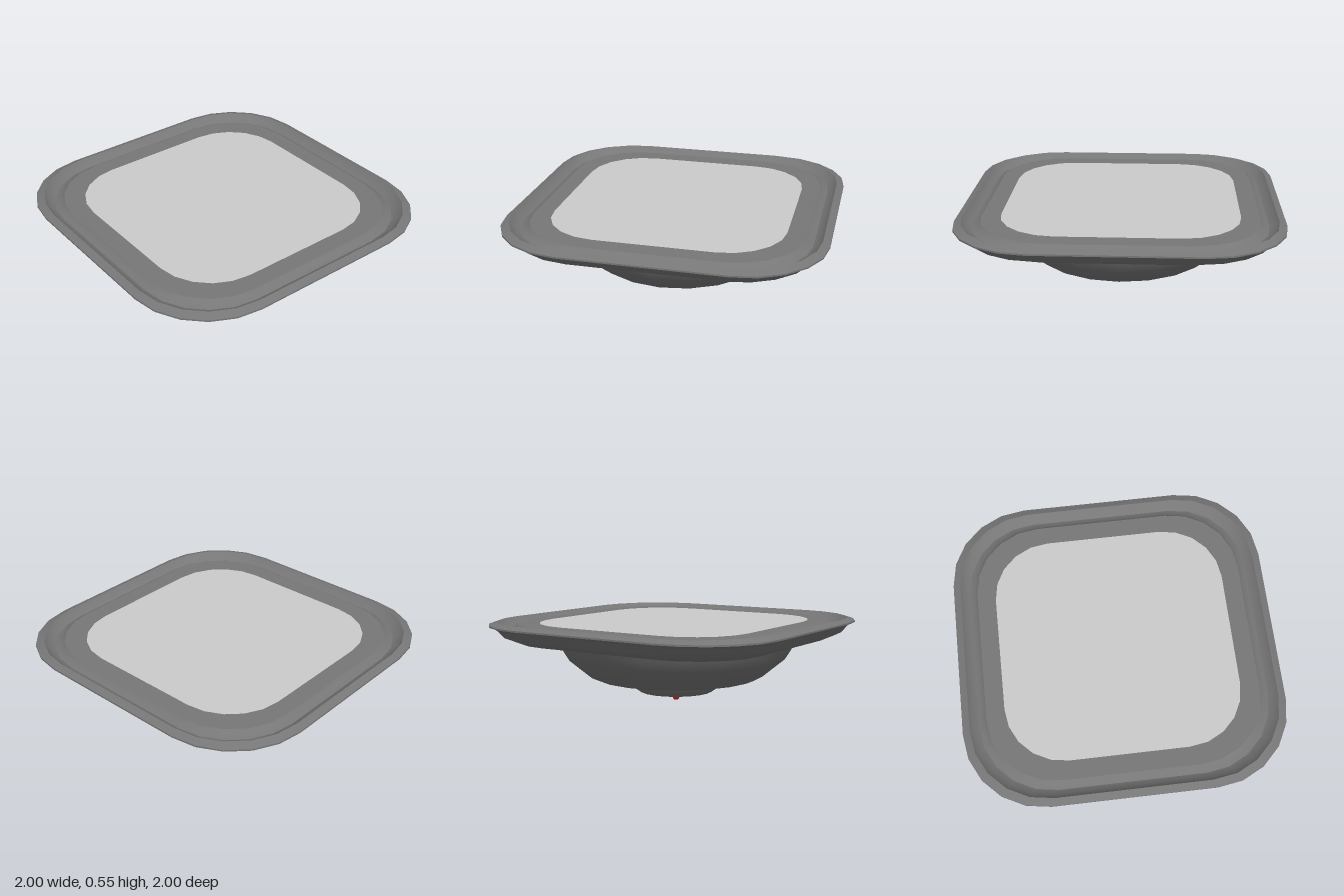
import * as THREE from 'three';
import { toCreasedNormals } from 'three/addons/utils/BufferGeometryUtils.js';

const mat = (color) => new THREE.MeshStandardMaterial({ color, side: THREE.DoubleSide });

// Outline of a unit square with rounded corners, five facets per corner
function roundedSquare() {
  const pts = [];
  for (let c = 0; c < 4; c++) {
    const cx = [1, -1, -1, 1][c] * 0.5, cz = [1, 1, -1, -1][c] * 0.5;
    for (let k = 0; k <= 5; k++) {
      const a = (c + k / 5) * Math.PI / 2;
      pts.push([cx + 0.5 * Math.cos(a), cz + 0.5 * Math.sin(a)]);
    }
  }
  return pts;
}

// Sweep a [halfWidth, y] profile around the rounded square
function squareLoft(profile) {
  const outline = roundedSquare(), n = outline.length;
  const pos = [], index = [];
  for (const [h, y] of profile) for (const [x, z] of outline) pos.push(x * h, y, z * h);
  for (let j = 0; j < profile.length - 1; j++) {
    for (let i = 0; i < n; i++) {
      const a = j * n + i, b = j * n + (i + 1) % n;
      index.push(a, a + n, b, b, a + n, b + n);
    }
  }
  const g = new THREE.BufferGeometry();
  g.setAttribute('position', new THREE.Float32BufferAttribute(pos, 3));
  g.setIndex(index);
  return toCreasedNormals(g, 0.5);
}

const lathe = (profile, sides) =>
  new THREE.LatheGeometry(profile.map(([r, y]) => new THREE.Vector2(r, y)), sides);

export function createModel() {
  const group = new THREE.Group();
  const dark = mat(0x777777);
  const add = (name, geometry, material) => {
    const mesh = new THREE.Mesh(geometry, material);
    mesh.name = name;
    group.add(mesh);
  };

  // Square plate: flat underside, flared side, thin lip, shallow groove, inner border
  add('plate', squareLoft([
    [0.5, 0.41], [0.84, 0.41], [0.925, 0.45], [0.955, 0.49], [0.97, 0.505], [1, 0.517],
    [1, 0.527], [0.955, 0.545], [0.93, 0.515], [0.9, 0.5], [0.87, 0.51], [0.85, 0.53], [0.735, 0.53],
  ]), dark);

  // Flat panel filling the top
  add('topPanel', squareLoft([[0.735, 0.53], [0, 0.53]]), mat(0xcccccc));

  // Round bowl with a rolled lower lip and a recess inside it
  add('bowl', lathe([
    [0.36, 0.25], [0.38, 0.2], [0.43, 0.17], [0.48, 0.16], [0.53, 0.16],
    [0.575, 0.18], [0.72, 0.3], [0.76, 0.365], [0.785, 0.41],
  ], 20), dark);

  // Smaller hollow cup in the recess
  add('cup', lathe([
    [0.14, 0.14], [0.16, 0.09], [0.2, 0.065], [0.24, 0.065],
    [0.29, 0.1], [0.32, 0.16], [0.36, 0.25],
  ], 20), dark);

  // Disc closing the cup
  const disc = new THREE.CircleGeometry(0.145, 20).rotateX(Math.PI / 2);
  disc.translate(0, 0.138, 0);
  add('cupDisc', disc, mat(0x1a8aa5));

  // Pointed tip hanging from the cup
  add('tip', lathe([
    [0, 0], [0.014, 0.003], [0.022, 0.015], [0.035, 0.065], [0.046, 0.11], [0.055, 0.15],
  ], 16), mat(0xdd1111));

  return group;
}
